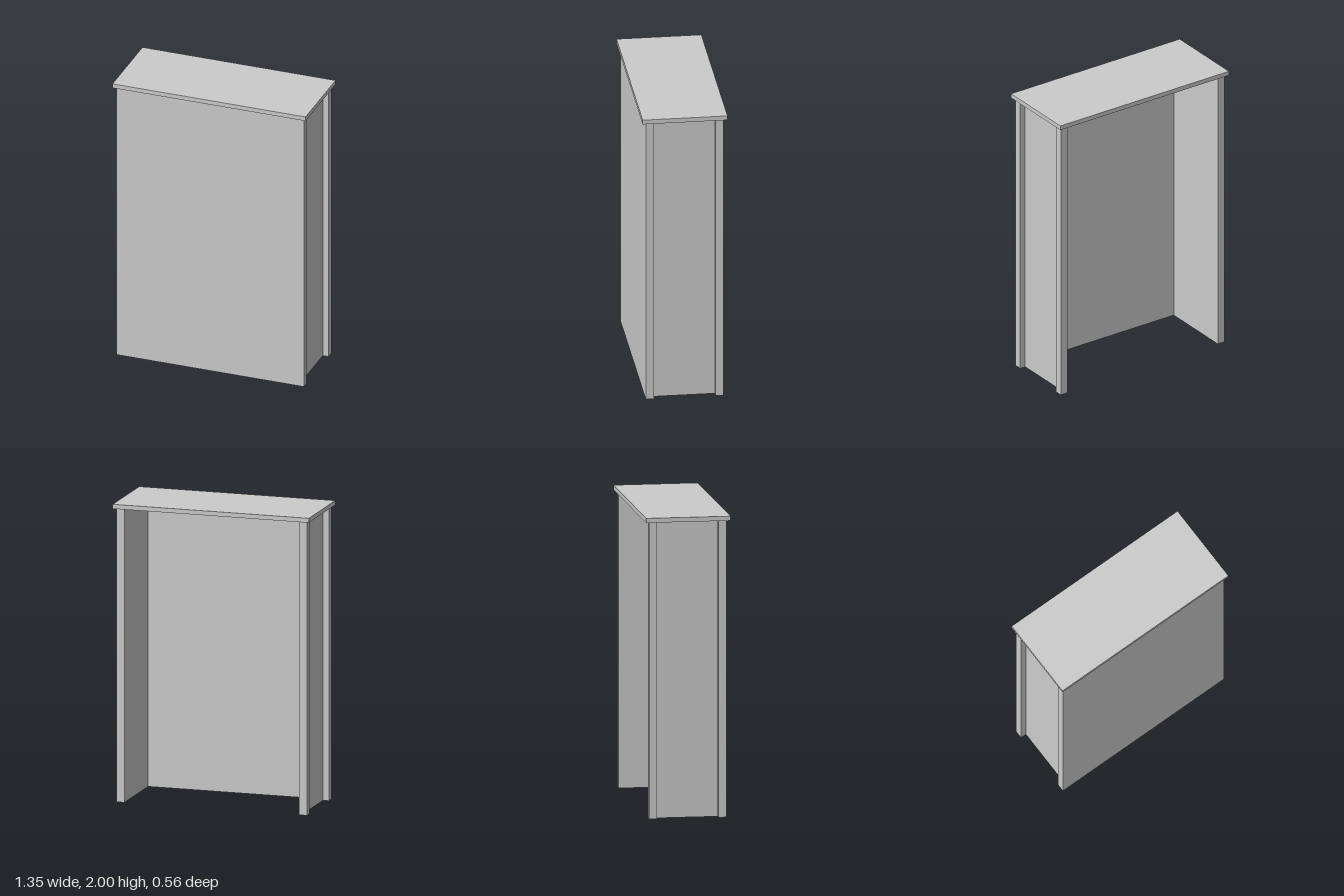
import * as THREE from 'three';

const HALF_W = 0.655;   // carcass half width
const HALF_D = 0.257;   // carcass half depth
const BODY_H = 1.97;    // height below the top slab
const POST = 0.053;     // square post size
const PANEL = 0.013;    // thin panel thickness

export function createModel() {
  const model = new THREE.Group();
  model.name = 'counter';
  const material = new THREE.MeshStandardMaterial({ color: 0xcccccc, flatShading: true });

  // Box standing on height y
  function addBox(name, w, h, d, x, y, z) {
    const mesh = new THREE.Mesh(new THREE.BoxGeometry(w, h, d), material);
    mesh.name = name;
    mesh.position.set(x, y + h / 2, z);
    model.add(mesh);
  }

  // Overhanging top slab
  addBox('top', 1.35, 2 - BODY_H, 0.56, 0, BODY_H, 0);

  // Front panel, set flush between the front posts; the back stays open
  addBox('frontPanel', 2 * (HALF_W - POST), BODY_H, PANEL, 0, 0, HALF_D - PANEL / 2);

  for (const [side, s] of [['left', 1], ['right', -1]]) {
    // Corner posts
    const postX = s * (HALF_W - POST / 2);
    const postZ = HALF_D - POST / 2;
    addBox(side + 'FrontPost', POST, BODY_H, POST, postX, 0, postZ);
    addBox(side + 'BackPost', POST, BODY_H, POST, postX, 0, -postZ);

    // Side panel, recessed outside and flush with the posts inside
    const panelX = s * (HALF_W - POST + PANEL / 2);
    addBox(side + 'Panel', PANEL, BODY_H, 2 * (HALF_D - POST), panelX, 0, 0);
  }
  return model;
}
